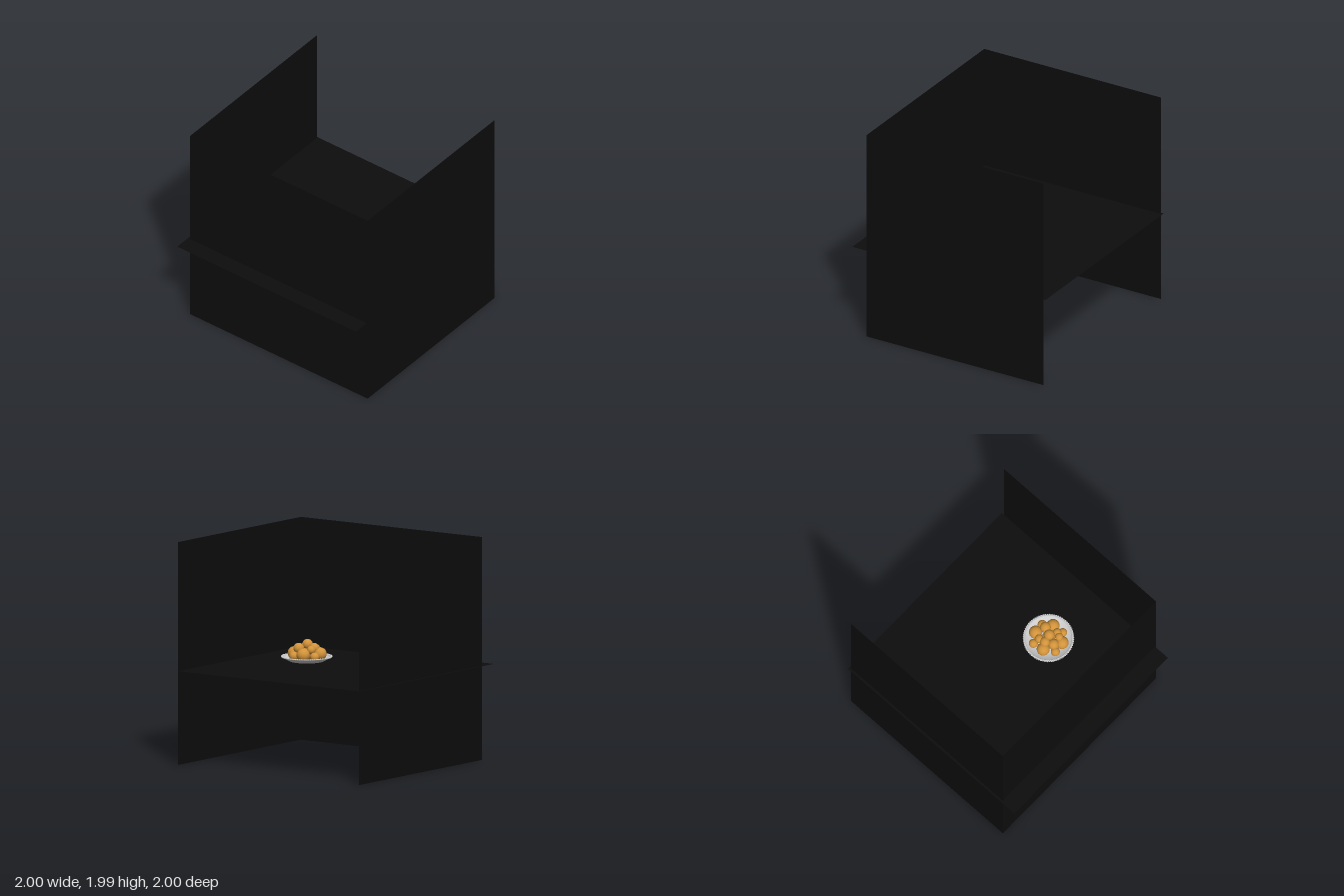
import * as THREE from 'three';
import { mergeGeometries } from 'three/addons/utils/BufferGeometryUtils.js';

const mat = (name, color, side = THREE.FrontSide) => {
  const m = new THREE.MeshStandardMaterial({ color, side });
  m.name = name;
  return m;
};

export function createModel() {
  const model = new THREE.Group();
  model.name = 'snackPlateBooth';

  const black = mat('black panel', 0x0d0d0d, THREE.DoubleSide);
  const silver = mat('pale silver', 0xcdcdcd, THREE.DoubleSide);
  const golden = mat('golden brown', 0xd2933a);

  const add = (parent, name, geometry, material, x = 0, y = 0, z = 0) => {
    const mesh = new THREE.Mesh(geometry, material);
    mesh.name = name;
    mesh.position.set(x, y, z);
    parent.add(mesh);
    return mesh;
  };

  // Upright screens on three sides, open at the back
  const height = 1.985, frontZ = 0.84, backZ = -0.985;
  add(model, 'frontWall', new THREE.PlaneGeometry(1.98, height), black, 0.01, height / 2, frontZ);
  for (const [name, x] of [['leftWall', 1], ['rightWall', -0.98]]) {
    const wall = add(model, name, new THREE.PlaneGeometry(frontZ - backZ, height), black,
      x, height / 2, (frontZ + backZ) / 2);
    wall.rotation.y = Math.PI / 2;
  }

  // Table sheet, running out past the front wall
  const tableY = 0.838;
  const table = add(model, 'tableTop', new THREE.PlaneGeometry(1.99, 1.995), black, -0.005, tableY, -0.0025);
  table.rotation.x = -Math.PI / 2;

  // Shallow dish with a stepped rim
  const dish = new THREE.Group();
  dish.name = 'dish';
  dish.position.set(0.398, tableY, 0.11);
  model.add(dish);
  const profile = [
    [0, 0.004], [0.13, 0.004], [0.15, 0.008], [0.218, 0.044], [0.222, 0.05],
    [0.21, 0.052], [0.207, 0.051], [0.201, 0.037], [0.15, 0.018], [0.12, 0.014], [0, 0.014],
  ].map(([r, y]) => new THREE.Vector2(r, y));
  add(dish, 'plate', new THREE.LatheGeometry(profile, 64), silver);

  // Beaded edge of the dish
  const beads = [];
  const count = 72;
  for (let i = 0; i < count; i++) {
    const a = (i / count) * Math.PI * 2;
    beads.push(new THREE.SphereGeometry(0.0075, 8, 6)
      .translate(Math.cos(a) * 0.22, 0.049, Math.sin(a) * 0.22));
  }
  add(dish, 'beadedRim', mergeGeometries(beads), silver);

  // Pile of round fritters: x, y, z, radius
  const pile = new THREE.Group();
  pile.name = 'fritters';
  model.add(pile);
  const balls = [
    [0.353, 0.915, -0.003, 0.059], [0.449, 0.9, -0.013, 0.041], [0.267, 0.9, 0.05, 0.04],
    [0.503, 0.915, 0.067, 0.058], [0.283, 0.915, 0.153, 0.058], [0.519, 0.9, 0.17, 0.038],
    [0.44, 0.915, 0.233, 0.058], [0.342, 0.9, 0.244, 0.04], [0.4, 0.91, 0.11, 0.058],
    [0.433, 0.965, 0.04, 0.048], [0.32, 0.955, 0.07, 0.038], [0.33, 0.965, 0.13, 0.045],
    [0.47, 0.955, 0.147, 0.038], [0.37, 0.945, 0.195, 0.048], [0.449, 0.965, 0.19, 0.036],
    [0.396, 0.995, 0.12, 0.047],
  ];
  balls.forEach(([x, y, z, r], i) =>
    add(pile, `fritter${i + 1}`, new THREE.SphereGeometry(r, 24, 16), golden, x, y, z));

  return model;
}
